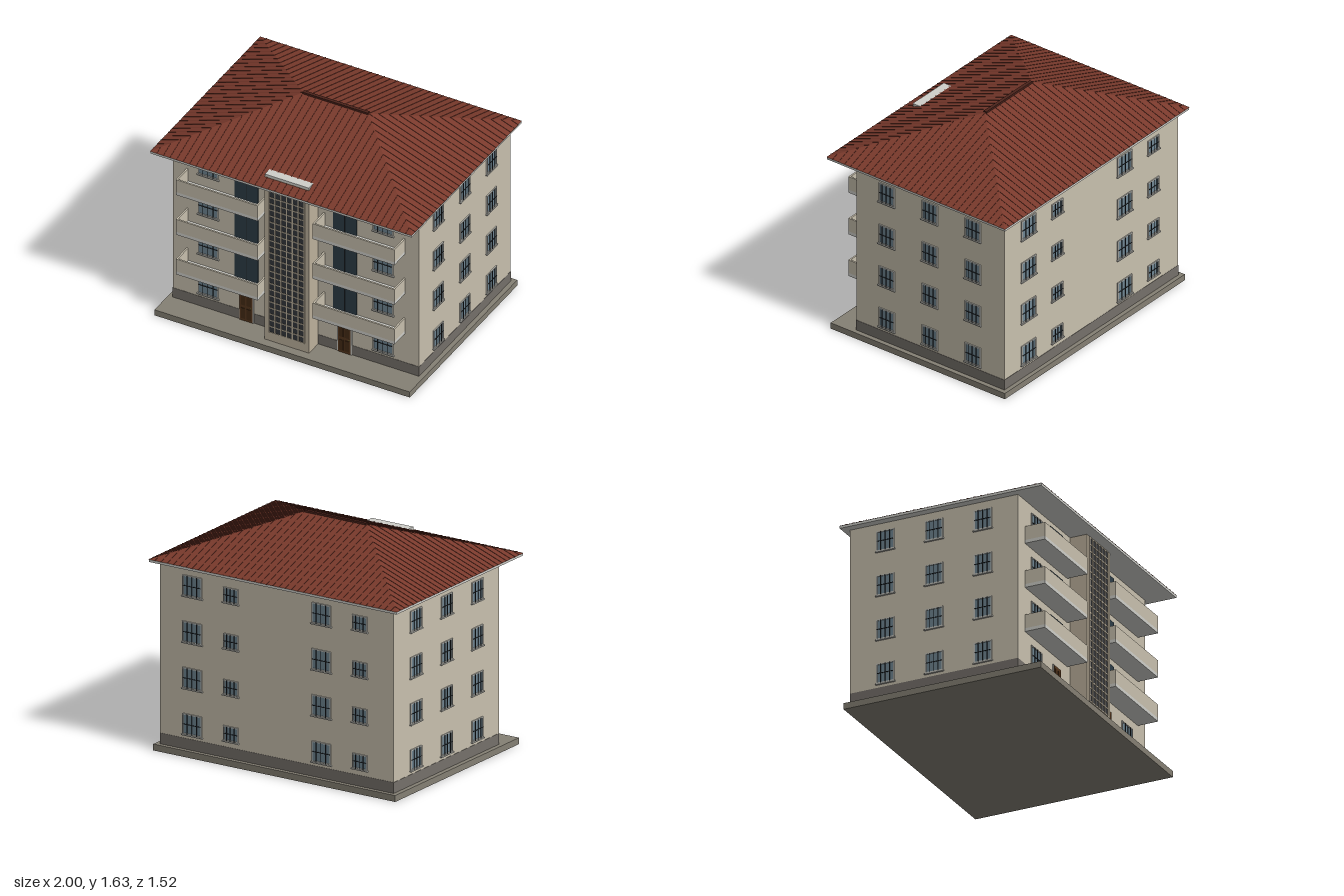
import * as THREE from 'three';

const mat = (color) => new THREE.MeshStandardMaterial({ color, flatShading: true });
const M = {
  wall: mat(0xc8c0ae), tower: mat(0xbdb19c), plinth: mat(0x75706a), base: mat(0x858074),
  roof: mat(0x7a3a2c), rib: mat(0x6c3226), ridge: mat(0x4a221a), trim: mat(0xcfcfca),
  frame: mat(0xc2c2bc), glass: mat(0x6f8592), darkGlass: mat(0x2c3c46), bars: mat(0x23282c),
  stairGlass: mat(0x33363a), door: mat(0x55361c), panel: mat(0x442a15), knob: mat(0xb09a50),
};
const STOREY = 0.325;

// Box given by its min and max corners
function box(parent, name, material, x0, x1, y0, y1, z0, z1) {
  const m = new THREE.Mesh(new THREE.BoxGeometry(x1 - x0, y1 - y0, z1 - z0), material);
  m.position.set((x0 + x1) / 2, (y0 + y1) / 2, (z0 + z1) / 2);
  m.name = name;
  parent.add(m);
  return m;
}

function rectPath(target, w, h) {
  target.moveTo(-w / 2, -h / 2);
  target.lineTo(w / 2, -h / 2);
  target.lineTo(w / 2, h / 2);
  target.lineTo(-w / 2, h / 2);
  target.closePath();
  return target;
}

// Rectangular ring standing on the z = 0 plane
function frame(parent, name, material, w, h, t, depth) {
  const s = rectPath(new THREE.Shape(), w, h);
  s.holes.push(rectPath(new THREE.Path(), w - 2 * t, h - 2 * t));
  const m = new THREE.Mesh(new THREE.ExtrudeGeometry(s, { depth, bevelEnabled: false }), material);
  m.name = name;
  parent.add(m);
  return m;
}

// Barred window facing +z, centred on its opening
function makeWindow(w, h) {
  const g = new THREE.Group();
  g.name = 'window';
  frame(g, 'windowFrame', M.frame, w, h, 0.008, 0.008);
  box(g, 'windowGlass', M.glass, -w / 2 + 0.006, w / 2 - 0.006, -h / 2 + 0.006, h / 2 - 0.006, -0.005, 0.003);
  box(g, 'windowSill', M.frame, -w / 2 - 0.007, w / 2 + 0.007, -h / 2 - 0.008, -h / 2, -0.005, 0.014);
  for (let i = 1; i <= 3; i++) {
    const x = -w / 2 + (w * i) / 4;
    box(g, 'verticalBar', M.bars, x - 0.002, x + 0.002, -h / 2, h / 2 - 0.004, 0.008, 0.012);
  }
  box(g, 'crossBar', M.bars, -w / 2 + 0.006, w / 2 - 0.006, -0.002, 0.002, 0.008, 0.012);
  return g;
}

function makeDoor() {
  const g = new THREE.Group();
  g.name = 'entranceDoor';
  box(g, 'doorFrame', M.frame, -0.056, 0.056, 0.045, 0.288, -0.005, 0.006);
  box(g, 'doorLeaf', M.door, -0.048, 0.048, 0.047, 0.28, 0, 0.01);
  for (const [y0, y1] of [[0.065, 0.15], [0.175, 0.262]])
    for (const s of [-1, 1]) box(g, 'doorPanel', M.panel, s * 0.022 - 0.016, s * 0.022 + 0.016, y0, y1, 0.005, 0.013);
  const knob = new THREE.Mesh(new THREE.SphereGeometry(0.005, 8, 6), M.knob);
  knob.position.set(0.038, 0.163, 0.014);
  knob.name = 'doorKnob';
  g.add(knob);
  return g;
}

// Balcony with slab, three parapet walls and its glazed door
function makeBalcony() {
  const g = new THREE.Group();
  g.name = 'balcony';
  const x0 = 0.21, x1 = 0.835, z1 = 0.7, t = 0.012;
  box(g, 'balconySlab', M.trim, x0, x1, 0.36, 0.384, 0.545, z1);
  box(g, 'frontParapet', M.wall, x0, x1, 0.384, 0.485, z1 - t, z1);
  box(g, 'sideParapet', M.wall, x0, x0 + t, 0.384, 0.485, 0.545, z1 - t);
  box(g, 'sideParapet', M.wall, x1 - t, x1, 0.384, 0.485, 0.545, z1 - t);
  box(g, 'balconyDoor', M.darkGlass, 0.285, 0.465, 0.384, 0.64, 0.545, 0.556);
  box(g, 'doorMullion', M.bars, 0.373, 0.377, 0.384, 0.64, 0.55, 0.559);
  return g;
}

// Hipped roof: four slopes with low ribs running down them
function makeRoof() {
  const g = new THREE.Group();
  g.name = 'roof';
  const X = 1, Z = 0.757, R = 0.25, y0 = 1.345, y1 = 1.617, rise = y1 - y0;
  box(g, 'fascia', M.trim, -0.997, 0.997, 1.327, y0, -Z + 0.002, Z - 0.002);
  const A = [-X, y0, Z], B = [X, y0, Z], C = [X, y0, -Z], D = [-X, y0, -Z], P = [-R, y1, 0], Q = [R, y1, 0];
  const geo = new THREE.BufferGeometry();
  const tris = [A, B, Q, A, Q, P, C, D, P, C, P, Q, B, C, Q, D, A, P, A, D, C, A, C, B];
  geo.setAttribute('position', new THREE.Float32BufferAttribute(tris.flat(), 3));
  geo.computeVertexNormals();
  const slopes = new THREE.Mesh(geo, M.roof);
  slopes.name = 'roofSlopes';
  g.add(slopes);

  // half = half eave length, run = horizontal run of slope, flat = half ridge length
  const addRibs = (half, run, flat, ridgeDist, turn) => {
    const side = new THREE.Group();
    side.name = 'roofRibs';
    const n = Math.round((2 * half) / 0.05);
    for (let i = 1; i < n; i++) {
      const u = -half + (2 * half * i) / n;
      const f = Math.min(1, (half - Math.abs(u)) / (half - flat));
      const len = f * Math.hypot(run, rise);
      const rib = new THREE.Mesh(new THREE.BoxGeometry(0.005, 0.005, len), M.rib);
      rib.position.set(u, y0 + (f * rise) / 2, ridgeDist + run - (f * run) / 2);
      rib.rotation.x = Math.atan2(rise, run);
      rib.name = 'roofRib';
      side.add(rib);
    }
    side.rotation.y = turn;
    g.add(side);
  };
  for (const s of [0, 1]) {
    addRibs(X, Z, R, 0, s * Math.PI);
    addRibs(Z, X - R, 0, R, Math.PI / 2 + s * Math.PI);
  }
  box(g, 'ridgeCap', M.ridge, -R, R, 1.607, 1.627, -0.012, 0.012);
  return g;
}

// Projecting stair tower with a tall gridded window
function makeStairTower() {
  const g = new THREE.Group();
  g.name = 'stairTower';
  box(g, 'towerBody', M.tower, -0.17, 0.17, 0.045, 1.38, 0.54, 0.676);
  box(g, 'towerCap', M.trim, -0.168, 0.168, 1.38, 1.397, 0.56, 0.676);
  const x = 0.135, yb = 0.115, yt = 1.32, cols = 6, rows = 24;
  box(g, 'stairGlazing', M.stairGlass, -x, x, yb, yt, 0.67, 0.678);
  for (let i = 0; i <= cols; i++) {
    const u = -x + (2 * x * i) / cols;
    box(g, 'gridPost', M.tower, u - 0.004, u + 0.004, yb, yt, 0.672, 0.682);
  }
  for (let j = 0; j <= rows; j++) {
    const v = yb + ((yt - yb) * j) / rows;
    box(g, 'gridRail', M.tower, -x, x, v - 0.004, v + 0.004, 0.672, 0.681);
  }
  return g;
}

export function createModel() {
  const model = new THREE.Group();
  model.name = 'apartmentBlock';
  box(model, 'baseSlab', M.base, -0.975, 0.975, 0, 0.045, -0.737, 0.74);
  box(model, 'plinth', M.plinth, -0.942, 0.942, 0.045, 0.122, -0.707, 0.552);
  box(model, 'walls', M.wall, -0.94, 0.94, 0.122, 1.33, -0.705, 0.55);
  model.add(makeRoof(), makeStairTower());

  const place = (w, h, x, y, z, turn) => {
    const win = makeWindow(w, h);
    win.position.set(x, y, z);
    win.rotation.y = turn;
    model.add(win);
  };
  for (let floor = 0; floor < 4; floor++) {
    const y = 0.223 + floor * STOREY;
    // Front and side windows
    for (const s of [-1, 1]) {
      place(0.155, 0.146, s * 0.668, y, 0.55, 0);
      for (const z of [0.29, -0.075, -0.44]) place(0.133, 0.146, s * 0.94, y, z, (s * Math.PI) / 2);
    }
    // Back: a large and a small window for each flat
    for (const x of [0.68, -0.36]) place(0.155, 0.146, x, y, -0.705, Math.PI);
    for (const x of [0.37, -0.67]) place(0.12, 0.105, x, y - 0.005, -0.705, Math.PI);
  }
  for (const s of [-1, 1]) {
    const door = makeDoor();
    door.position.set(s * 0.375, 0, 0.552);
    model.add(door);
    for (let floor = 0; floor < 3; floor++) {
      const balcony = makeBalcony();
      balcony.position.set(s < 0 ? -1.045 : 0, floor * STOREY, 0);
      // The door sits at a mirrored place on the other side
      if (s < 0) for (const part of balcony.children)
        part.position.x = 1.045 - part.position.x;
      model.add(balcony);
    }
  }
  return model;
}
